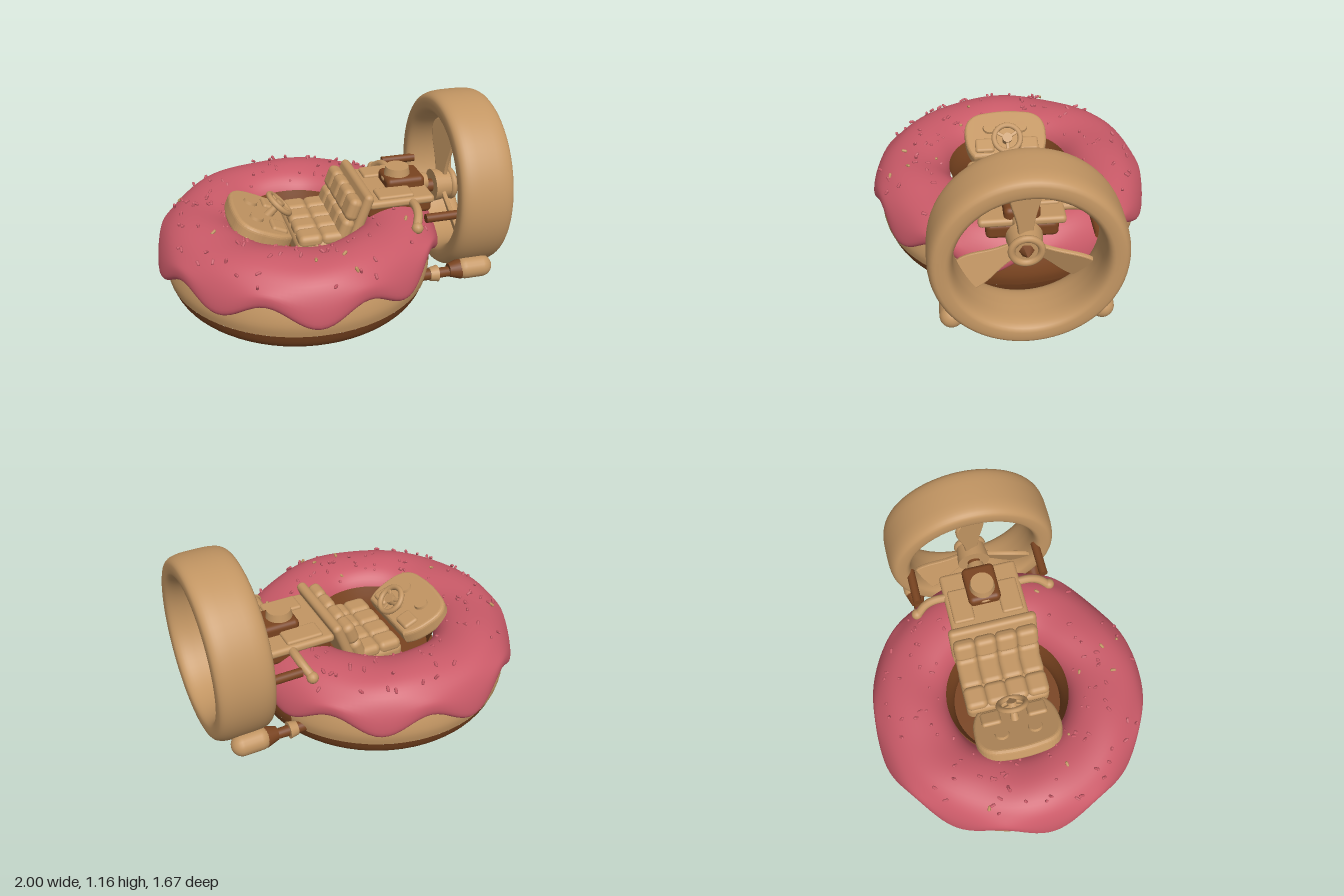
import * as THREE from 'three';
import { mergeVertices } from 'three/addons/utils/BufferGeometryUtils.js';
import { RoundedBoxGeometry } from 'three/addons/geometries/RoundedBoxGeometry.js';

const CX = -0.17; // centre of the doughnut hull
const rad = THREE.MathUtils.degToRad;

function material(name, color) {
  const m = new THREE.MeshStandardMaterial({ color });
  m.name = name;
  return m;
}

function curveProfile(points, n) {
  return new THREE.SplineCurve(points.map(p => new THREE.Vector2(...p))).getPoints(n);
}

export function createModel() {
  const model = new THREE.Group();
  model.name = 'doughnutHovercraft';
  const tan = material('tan', 0xc39663);
  const brown = material('brown', 0x7a4420);
  const pink = material('pink', 0xca5a68);

  function add(name, geo, mat, pos = [0, 0, 0], rot = [0, 0, 0], parent = model) {
    const m = new THREE.Mesh(geo, mat);
    m.name = name;
    m.position.set(...pos);
    m.rotation.set(...rot);
    parent.add(m);
    return m;
  }
  const box = (w, h, d, r) => new RoundedBoxGeometry(w, h, d, 3, r);
  const cyl = (r1, r2, h) => new THREE.CylinderGeometry(r1, r2, h, 24);
  const AXIS_X = [0, 0, -Math.PI / 2]; // turns a y axis into +x

  // Dough: brown underside, paler band with a browned stretch below the fan
  const under = curveProfile([[0.37, 0.46], [0.33, 0.33], [0.34, 0.2], [0.4, 0.07], [0.5, 0.01],
    [0.6, 0.0], [0.68, 0.03], [0.75, 0.09], [0.785, 0.17]], 32);
  add('doughUnderside', new THREE.LatheGeometry(under, 72), brown, [CX, 0, 0]);
  const side = curveProfile([[0.785, 0.17], [0.795, 0.24], [0.775, 0.33], [0.73, 0.42], [0.62, 0.49]], 16);
  add('doughBand', new THREE.LatheGeometry(side, 64, rad(116), rad(308)), tan, [CX, 0, 0]);
  add('doughBrownedBand', new THREE.LatheGeometry(side, 12, rad(64), rad(52)), brown, [CX, 0, 0]);
  add('floor', cyl(0.37, 0.35, 0.08), brown, [CX, 0.26, 0]);

  // Icing: lathe whose lower rim is pulled into nine drips
  let icing = new THREE.LatheGeometry(curveProfile([[0.765, 0.34], [0.8, 0.3], [0.83, 0.33], [0.82, 0.41],
    [0.77, 0.485], [0.69, 0.54], [0.58, 0.56], [0.47, 0.54], [0.4, 0.49], [0.365, 0.42], [0.37, 0.36]], 40), 144);
  icing.deleteAttribute('uv');
  icing.deleteAttribute('normal');
  const p = icing.attributes.position;
  for (let i = 0; i < p.count; i++) {
    const x = p.getX(i), y = p.getY(i), z = p.getZ(i);
    const r = Math.hypot(x, z), phi = Math.atan2(x, z);
    const skirt = THREE.MathUtils.smoothstep(r, 0.6, 0.76) * (1 - THREE.MathUtils.smoothstep(y, 0.33, 0.5));
    const drip = Math.cos(9 * (phi + rad(5)));
    const fanSide = Math.max(0, Math.sin(phi)) ** 6;
    const dy = -0.055 * drip - 0.012 * Math.sin(4 * phi + 1) + 0.045 * fanSide;
    const s = 1 + 0.012 * drip * skirt + 0.008 * Math.sin(5 * phi + 2);
    p.setXYZ(i, x * s, y + dy * skirt + 0.005 * Math.sin(7 * phi + 9 * r), z * s);
  }
  icing = mergeVertices(icing, 1e-4);
  icing.computeVertexNormals();
  add('icing', icing, pink, [CX, 0, 0]);

  // Sprinkles scattered over the icing
  let seed = 7;
  const rnd = () => (seed = (seed * 16807) % 2147483647) / 2147483647;
  const sprinkle = new THREE.CapsuleGeometry(0.009, 0.018, 3, 6);
  for (let i = 0; i < 120; i++) {
    const phi = rnd() * Math.PI * 2, a = rad(30 + rnd() * 110);
    const r = 0.595 + 0.225 * Math.cos(a);
    add('sprinkle', sprinkle, i % 11 ? pink : tan,
      [CX + r * Math.sin(phi), 0.385 + 0.18 * Math.sin(a), r * Math.cos(phi)],
      [rnd() * 3, rnd() * 3, rnd() * 3]);
  }

  // Dashboard: sloping rounded panel with dials and a steering wheel
  const dash = new THREE.Group();
  dash.name = 'dashboard';
  dash.position.set(-0.42, 0.49, 0);
  dash.rotation.z = -0.42;
  model.add(dash);
  const outline = new THREE.Shape();
  outline.moveTo(0.15, -0.2);
  outline.quadraticCurveTo(0.1, -0.24, 0, -0.24);
  outline.quadraticCurveTo(-0.14, -0.25, -0.15, -0.12);
  outline.quadraticCurveTo(-0.17, 0, -0.15, 0.12);
  outline.quadraticCurveTo(-0.14, 0.25, 0, 0.24);
  outline.quadraticCurveTo(0.1, 0.24, 0.15, 0.2);
  const panel = new THREE.ExtrudeGeometry(outline, { depth: 0.05, bevelSize: 0.02, bevelThickness: 0.025, bevelSegments: 4 });
  panel.rotateX(-Math.PI / 2);
  add('dashPanel', panel, tan, [0, -0.025, 0], [0, 0, 0], dash);
  for (const s of [-1, 1]) {
    add('dial', cyl(0.04, 0.045, 0.025), tan, [-0.04, 0.055, s * 0.1], [0, 0, 0], dash);
    add('dashPad', box(0.1, 0.04, 0.12, 0.018), tan, [0.09, 0.05, s * 0.14], [0, 0, 0], dash);
  }
  const wheel = new THREE.Group();
  wheel.name = 'steeringWheel';
  wheel.position.set(-0.28, 0.575, 0);
  wheel.rotation.z = -0.8;
  model.add(wheel);
  add('wheelRim', new THREE.TorusGeometry(0.082, 0.017, 10, 32), tan, [0, 0, 0], [Math.PI / 2, 0, 0], wheel);
  add('wheelHub', cyl(0.03, 0.03, 0.04), tan, [0, 0, 0], [0, 0, 0], wheel);
  add('steeringColumn', cyl(0.02, 0.03, 0.14), tan, [0, -0.08, 0], [0, 0, 0], wheel);
  for (let i = 0; i < 3; i++) {
    const a = i * Math.PI * 2 / 3;
    add('wheelSpoke', box(0.08, 0.015, 0.022, 0.006), tan,
      [0.04 * Math.cos(a), 0, -0.04 * Math.sin(a)], [0, a, 0], wheel);
  }

  // Bench seat with quilted cushion and backrest
  add('seatBase', box(0.3, 0.14, 0.52, 0.04), tan, [-0.08, 0.36, 0]);
  add('backrestFrame', box(0.06, 0.34, 0.54, 0.028), tan, [0.15, 0.53, 0], [0, 0, -0.35]);
  for (let j = 0; j < 4; j++) {
    const z = (j - 1.5) * 0.128;
    for (let i = 0; i < 2; i++) {
      add('seatPad', box(0.145, 0.08, 0.135, 0.035), tan, [-0.145 + i * 0.135, 0.43, z]);
      add('backrestPad', box(0.08, 0.14, 0.135, 0.035), tan, [0.065 + i * 0.046, 0.475 + i * 0.125, z], [0, 0, -0.35]);
    }
  }

  // Engine deck, motor and exhausts
  add('engineBase', box(0.4, 0.1, 0.4, 0.03), brown, [0.41, 0.55, 0]);
  add('engineDeck', box(0.4, 0.05, 0.48, 0.022), tan, [0.41, 0.605, 0]);
  for (const s of [-1, 1]) {
    add('deckCover', box(0.22, 0.035, 0.13, 0.015), tan, [0.38, 0.63, s * 0.15]);
    const path = new THREE.CatmullRomCurve3([[0.47, 0.6, 0.2], [0.47, 0.6, 0.3], [0.46, 0.58, 0.36], [0.43, 0.53, 0.42]]
      .map(v => new THREE.Vector3(v[0], v[1], s * v[2])));
    add('exhaustPipe', new THREE.TubeGeometry(path, 16, 0.026, 10), tan);
    add('exhaustTip', new THREE.SphereGeometry(0.034, 14, 10), tan, [0.435, 0.535, s * 0.42]);
  }
  add('motorBlock', box(0.24, 0.1, 0.2, 0.03), brown, [0.48, 0.64, 0]);
  add('motorCap', cyl(0.07, 0.085, 0.09), tan, [0.45, 0.69, 0]);
  add('motorCapRim', new THREE.TorusGeometry(0.08, 0.015, 8, 28), tan, [0.45, 0.66, 0], [Math.PI / 2, 0, 0]);
  add('driveHousing', cyl(0.05, 0.08, 0.14), tan, [0.57, 0.61, 0], AXIS_X);

  // Propeller
  const prop = new THREE.Group();
  prop.name = 'propeller';
  prop.position.set(0.74, 0.575, 0);
  model.add(prop);
  add('driveShaft', cyl(0.04, 0.04, 0.24), brown, [-0.1, 0, 0], AXIS_X, prop);
  add('hub', cyl(0.085, 0.1, 0.12), tan, [0, 0, 0], AXIS_X, prop);
  add('hubRim', new THREE.TorusGeometry(0.08, 0.02, 10, 32), tan, [0.06, 0, 0], [0, Math.PI / 2, 0], prop);
  add('hubNut', new THREE.ConeGeometry(0.045, 0.06, 6), brown, [0.085, 0, 0], AXIS_X, prop);
  const bs = new THREE.Shape();
  bs.moveTo(-0.035, 0.05);
  bs.bezierCurveTo(-0.04, 0.2, -0.09, 0.25, -0.09, 0.35);
  bs.bezierCurveTo(-0.085, 0.46, 0.085, 0.46, 0.09, 0.35);
  bs.bezierCurveTo(0.09, 0.25, 0.04, 0.2, 0.035, 0.05);
  const blade = new THREE.ExtrudeGeometry(bs, { depth: 0.01, bevelSize: 0.006, bevelThickness: 0.008, bevelSegments: 2, curveSegments: 14 });
  blade.translate(0, 0, -0.005);
  blade.rotateY(Math.PI / 2 + 0.35);
  for (let i = 0; i < 3; i++) add('blade', blade, tan, [0, 0, 0], [i * Math.PI * 2 / 3, 0, 0], prop);

  // Fan shroud: rounded cross-section turned about the x axis
  const loop = [];
  for (let i = 0; i <= 36; i++) {
    const t = -Math.PI + i * Math.PI / 18;
    const soft = v => Math.sign(v) * Math.abs(v) ** 0.6;
    loop.push(new THREE.Vector2(0.4525 + 0.0675 * soft(Math.cos(t)), 0.162 * soft(Math.sin(t))));
  }
  const shroud = add('fanShroud', new THREE.LatheGeometry(loop, 72), tan, [0.828, 0.617, 0], AXIS_X);
  shroud.scale.x = 1.045;

  // Side mounts: struts ending in rounded pods, with upper braces
  for (const s of [-1, 1]) {
    add('strut', cyl(0.028, 0.036, 0.26), brown, [0.57, 0.195, s * 0.4], AXIS_X);
    add('strutCollar', cyl(0.05, 0.04, 0.05), tan, [0.56, 0.195, s * 0.4], AXIS_X);
    add('podCollar', cyl(0.062, 0.04, 0.07), brown, [0.69, 0.205, s * 0.4], AXIS_X);
    add('pod', new THREE.CapsuleGeometry(0.066, 0.1, 8, 20), tan, [0.808, 0.21, s * 0.405], AXIS_X);
    add('brace', cyl(0.026, 0.026, 0.22), brown, [0.6, 0.58, s * 0.4], AXIS_X);
  }
  return model;
}
